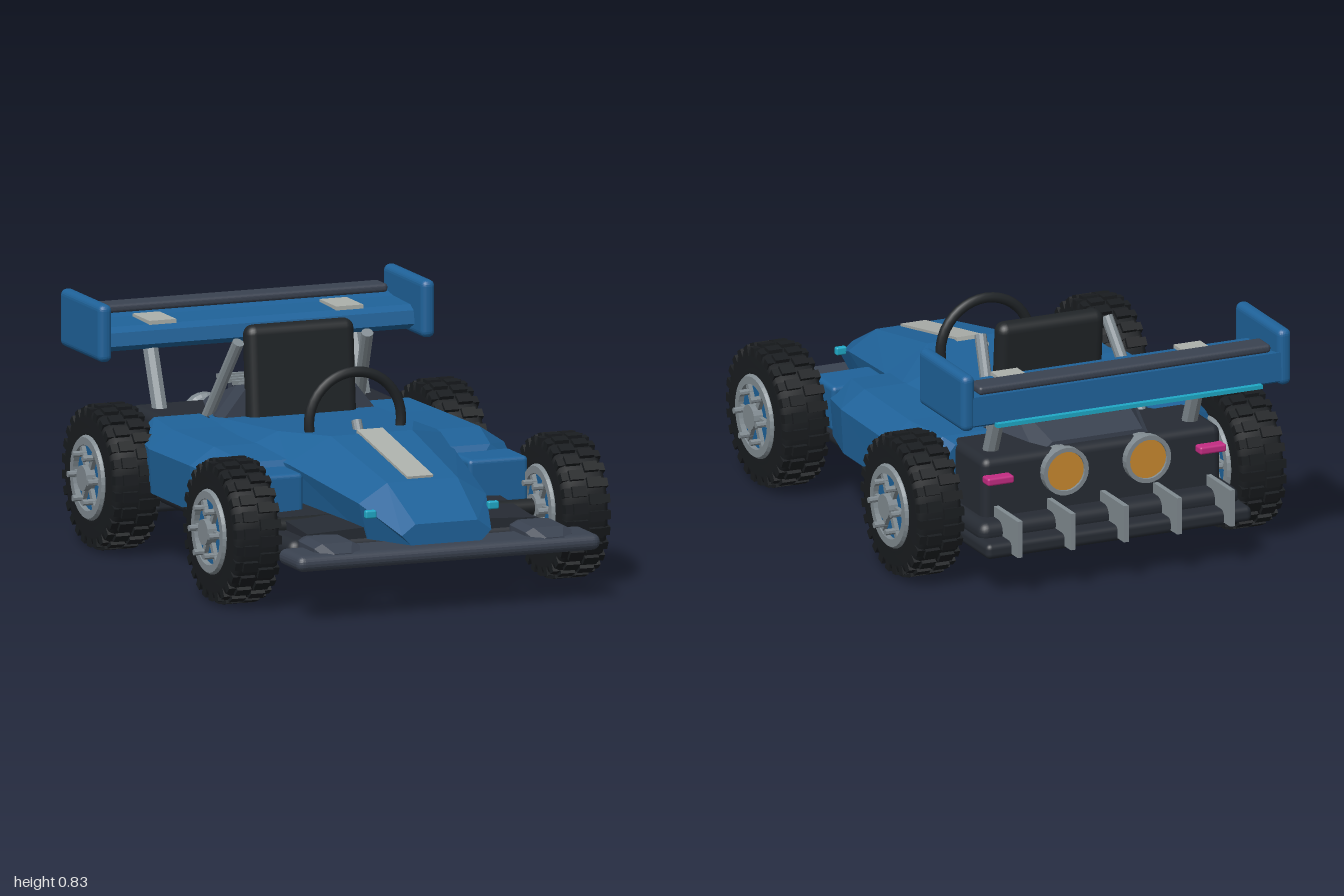
import * as THREE from 'three';
import { mergeGeometries } from 'three/addons/utils/BufferGeometryUtils.js';
import { RoundedBoxGeometry } from 'three/addons/geometries/RoundedBoxGeometry.js';

const mat = (color, extra = {}) => {
  const m = new THREE.MeshStandardMaterial({ color, ...extra });
  return m;
};
const flat = { flatShading: true };
const M = {
  blue: mat(0x1f6299, flat), dark: mat(0x3a4250, flat), black: mat(0x202427),
  floor: mat(0x262b33), tyre: mat(0x191c1f), grey: mat(0x808a90, flat), pale: mat(0xacb0ab, flat),
  orange: mat(0xc98a30), cyan: mat(0x1fa8c6), pink: mat(0xc22c82),
};

function add(parent, name, geo, material, x = 0, y = 0, z = 0) {
  const m = new THREE.Mesh(geo, material);
  m.name = name;
  m.position.set(x, y, z);
  parent.add(m);
  return m;
}
const box = (w, h, d) => new THREE.BoxGeometry(w, h, d);
const rbox = (w, h, d, r) => new RoundedBoxGeometry(w, h, d, 3, r);

// Rod between two points
function rod(parent, name, a, b, r, material, sides = 10) {
  const p = new THREE.Vector3(...a), q = new THREE.Vector3(...b);
  const m = add(parent, name, new THREE.CylinderGeometry(r, r, p.distanceTo(q), sides), material);
  m.position.copy(p).add(q).multiplyScalar(0.5);
  m.quaternion.setFromUnitVectors(new THREE.Vector3(0, 1, 0), q.sub(p).normalize());
  return m;
}

// Skin over rings of [x, y, z]; rings run back to front, counter-clockwise seen from the front
function loft(rings) {
  const pos = [], n = rings[0].length;
  const tri = (a, b, c) => pos.push(...a, ...b, ...c);
  for (let k = 0; k < rings.length - 1; k++) {
    const a = rings[k], b = rings[k + 1];
    for (let i = 0; i < n; i++) {
      const j = (i + 1) % n;
      tri(a[i], a[j], b[j]);
      tri(a[i], b[j], b[i]);
    }
  }
  const back = rings[0], front = rings[rings.length - 1];
  for (let i = 1; i < n - 1; i++) {
    tri(back[0], back[i + 1], back[i]);
    tri(front[0], front[i], front[i + 1]);
  }
  const g = new THREE.BufferGeometry();
  g.setAttribute('position', new THREE.Float32BufferAttribute(pos, 3));
  g.computeVertexNormals();
  return g;
}

// Symmetric six-sided ring: half-widths and heights of the bottom, waist and top
const hexRing = ([z, wb, yb, ws, ym, wt, yt]) => [
  [wb, yb, z], [ws, ym, z], [wt, yt, z], [-wt, yt, z], [-ws, ym, z], [-wb, yb, z]];

// Wheel, built around the y axis and then laid on its side
function wheel() {
  const g = new THREE.Group();
  const profile = [[.135, -.08], [.16, -.085], [.17, -.078], [.205, -.084], [.228, -.076], [.238, -.058],
    [.238, .058], [.228, .076], [.205, .084], [.17, .078], [.16, .085], [.135, .08]];
  add(g, 'tyre', new THREE.LatheGeometry(profile.map(p => new THREE.Vector2(...p)), 48), M.tyre);

  // Staggered tread blocks in two rows, with shoulder blocks
  const lugs = [], N = 26;
  for (let i = 0; i < N; i++) for (const s of [-1, 1]) {
    const a = (i + (s > 0 ? .5 : 0)) / N * Math.PI * 2;
    lugs.push(box(.024, .052, .036).translate(.238, s * .03, 0).rotateY(a));
    lugs.push(box(.036, .03, .03).translate(.221, s * .068, 0).rotateY(a));
  }
  add(g, 'tread', mergeGeometries(lugs), M.tyre);

  add(g, 'wheelDisc', new THREE.CylinderGeometry(.125, .125, .15, 32), M.blue);
  const ring = [[.114, -.095], [.14, -.095], [.147, -.085], [.147, .085], [.14, .095], [.114, .095], [.114, -.095]];
  add(g, 'rim', new THREE.LatheGeometry(ring.map(p => new THREE.Vector2(...p)), 36), M.grey);
  add(g, 'hub', new THREE.CylinderGeometry(.045, .045, .22, 16), M.grey);
  const spokes = [];
  for (let i = 0; i < 6; i++) {
    const a = (i + .5) * Math.PI / 3;
    spokes.push(box(.09, .18, .02).translate(.075, 0, 0).rotateY(a));
    spokes.push(new THREE.CylinderGeometry(.011, .011, .25, 8).translate(.088, 0, 0).rotateY(a));
  }
  add(g, 'spokes', mergeGeometries(spokes), M.grey);
  g.rotation.z = -Math.PI / 2;
  return g;
}

export function createModel() {
  const car = new THREE.Group();
  car.name = 'racingBuggy';

  // Floor and chassis
  add(car, 'floor', rbox(.98, .075, 1.6, .035), M.floor, 0, .205, -.05);
  add(car, 'frontChassis', loft([[.2, .42, .3, .38, .3], [.78, .42, .26, .2, .27]].map(
    ([z, w, ym, wt, yt]) => hexRing([z - .04, w, .2, w, ym, wt, yt]))), M.floor);
  add(car, 'rearFloor', rbox(1, .055, .5, .02), M.floor, 0, .165, -.67);
  add(car, 'rearBulkhead', rbox(.9, .26, .36, .03), M.floor, 0, .32, -.6);

  // Front splitter
  add(car, 'frontSplitter', rbox(1.12, .056, .195, .027), M.dark, 0, .207, .902);

  // Central body and nose
  add(car, 'body', loft([
    [-.5, .3, .22, .345, .41, .27, .455],
    [-.3, .33, .22, .36, .42, .28, .468],
    [.07, .32, .22, .372, .44, .25, .49],
    [.3, .27, .22, .31, .42, .15, .505],
    [.75, .2, .23, .235, .355, .13, .42],
    [.965, .13, .24, .165, .275, .115, .312],
  ].map(hexRing)), M.blue);
  const stripe = add(car, 'noseStripe', box(.095, .024, .458), M.pale, 0, .463, .505);
  stripe.rotation.x = Math.atan2(.085, .45);

  // Engine cover and louvres
  add(car, 'engineCover', loft([
    [-.74, .24, .3, .23, .42, .17, .465],
    [-.42, .29, .3, .28, .46, .2, .56],
    [-.34, .29, .3, .28, .46, .2, .56],
  ].map(hexRing)), M.dark);
  for (let i = 0; i < 5; i++) {
    const z = -.43 - i * .047;
    add(car, 'louvre', box(.38, .014, .014), M.grey, 0, .557, z);
    for (const s of [-1, 1]) add(car, 'louvrePost', box(.012, .1, .012), M.dark, s * .14, .51, z);
  }

  // Seat
  const seat = add(car, 'seat', rbox(.4, .36, .075, .035), M.black, 0, .6, -.34);
  seat.rotation.x = -.08;

  // Steering
  add(car, 'steeringWheel', new THREE.TorusGeometry(.17, .018, 10, 40), M.black, 0, .522, .152);
  rod(car, 'steeringColumn', [0, .46, .2], [0, .525, .165], .018, M.grey, 12);

  for (const s of [-1, 1]) {
    // Side pods
    const pod = [[-.56, .35, .5, .5, .44], [-.5, .3, .52, .535, .455], [-.28, .3, .54, .58, .45],
      [.08, .3, .54, .58, .455], [.27, .3, .5, .53, .43], [.29, .3, .47, .51, .4]]
      .map(([z, xi, xt, xo, y]) => {
        const r = [[xi, .235], [xo - .01, .235], [xo, y - .06], [xt - .05, y], [xi, y]]
          .map(([x, h]) => [s * x, h, z]);
        return s > 0 ? r : r.reverse();
      });
    add(car, 'sidePod', loft(pod), M.blue);
    add(car, 'podInlet', rbox(.22, .16, .17, .015), M.blue, s * .415, .33, .345);

    // Splitter mounts and headlights
    const mount = [[.7, .05, .25], [.8, .085, .265], [.93, .085, .262], [.985, .06, .235]].map(([z, w, y]) =>
      [[w, .2], [w, y - .015], [w - .03, y], [-w + .03, y], [-w, y - .015], [-w, .2]]
        .map(([x, h]) => [s * .39 + x, h, z]));
    add(car, 'splitterMount', loft(mount), M.dark);
    add(car, 'headlight', rbox(.04, .028, .022, .006), M.cyan, s * .226, .332, .83);

    // Roll bars
    rod(car, 'rollBar', [s * .28, .43, -.5], [s * .238, .73, -.31], .021, M.grey);

    // Wing supports, end plates and pads
    rod(car, 'wingSupport', [s * .375, .4, -.66], [s * .375, .68, -.775], .028, M.grey, 8);
    add(car, 'wingEndPlate', rbox(.05, .2, .36, .022), M.blue, s * .596, .73, -.8);
    add(car, 'wingPad', box(.1, .014, .15), M.pale, s * .345, .737, -.798);

    // Exhausts and tail lights
    const pipe = [[.01, -.13], [.07, -.13], [.075, .13], [.085, .14], [.085, .17], [.07, .17], [.068, .15]];
    add(car, 'exhaust', new THREE.LatheGeometry(pipe.map(p => new THREE.Vector2(...p)), 24)
      .rotateX(-Math.PI / 2), M.grey, s * .155, .38, -.65);
    add(car, 'exhaustGlow', new THREE.CylinderGeometry(.069, .069, .03, 24)
      .rotateX(Math.PI / 2), M.orange, s * .155, .38, -.797);
    add(car, 'tailLight', rbox(.1, .028, .05, .008), M.pink, s * .4, .38, -.795);

    // Wheels
    for (const [name, z] of [['frontWheel', .525], ['rearWheel', -.55]]) {
      const w = wheel();
      w.name = name;
      w.position.set(s * .607, .252, z);
      car.add(w);
    }
  }
  for (const z of [.525, -.55]) rod(car, 'axle', [-.55, .252, z], [.55, .252, z], .03, M.black, 12);

  // Rear wing, flap and light strip
  const wing = [[-.98, .65], [-.95, .635], [-.74, .645], [-.69, .67], [-.7, .715], [-.73, .731], [-.88, .735], [-.975, .75]];
  const wingShape = new THREE.Shape(wing.map(([z, y]) => new THREE.Vector2(-z, y)));
  add(car, 'rearWing', new THREE.ExtrudeGeometry(wingShape, { depth: 1.16, bevelEnabled: false })
    .rotateY(Math.PI / 2).translate(-.58, 0, 0), M.blue);
  add(car, 'wingFlap', rbox(1.1, .03, .09, .012), M.dark, 0, .764, -.918);
  add(car, 'wingLightStrip', box(1, .014, .024), M.cyan, 0, .645, -.988);

  // Diffuser fins
  for (let i = -2; i <= 2; i++) add(car, 'diffuserFin', box(.018, .13, .2), M.grey, i * .2, .215, -.87);

  return car;
}
